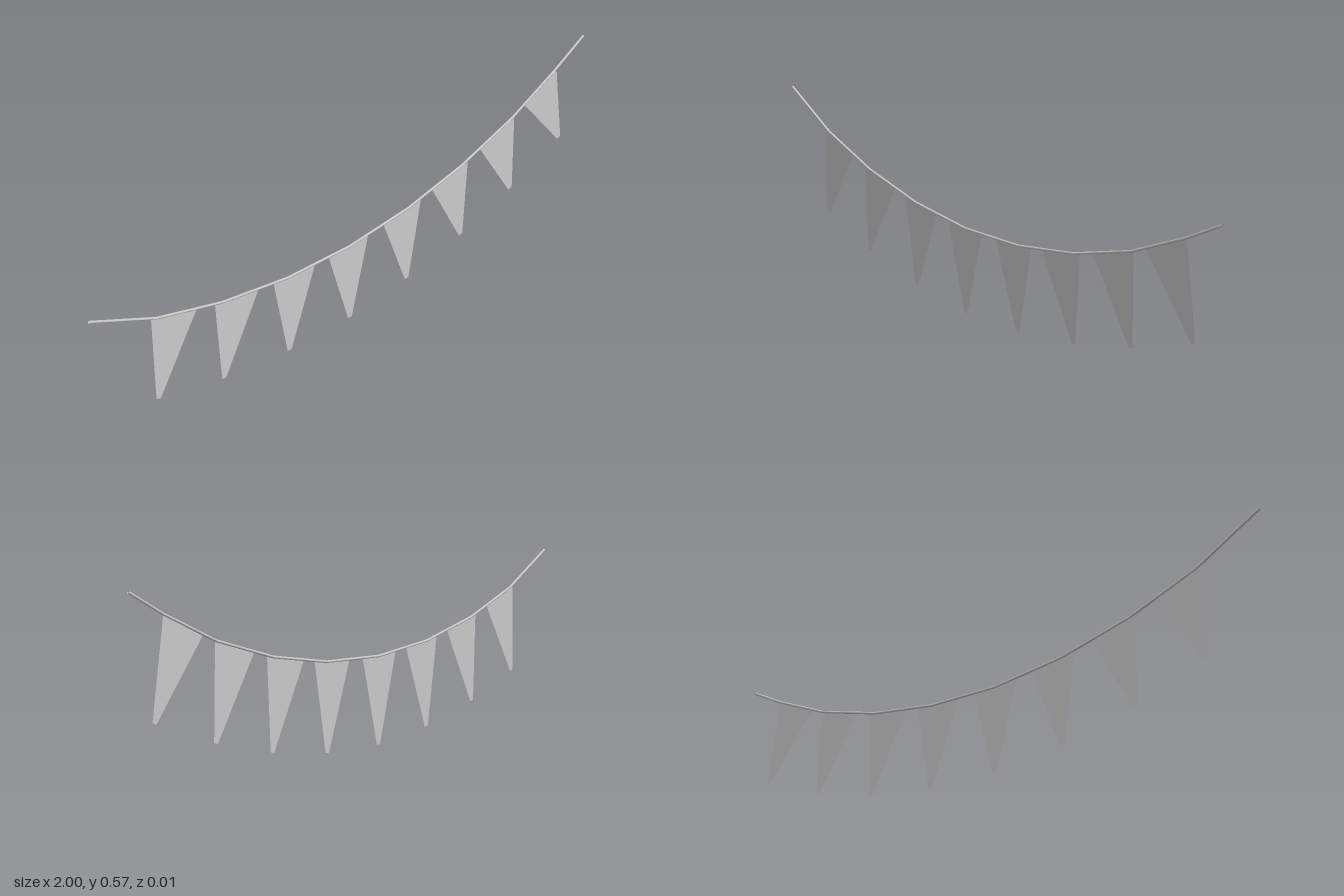
import * as THREE from 'three';

// bends of the hanging rope
const ROPE = [
  [-1, 0.53], [-0.785, 0.42], [-0.555, 0.345], [-0.307, 0.296], [-0.056, 0.278],
  [0.195, 0.292], [0.436, 0.336], [0.671, 0.409], [0.874, 0.503], [1, 0.572],
].map(([x, y]) => new THREE.Vector3(x, y, 0));

// each flag: left and right x on the rope, then the tip
const FLAGS = [
  [-0.802, -0.644, -0.801, 0.138], [-0.58, -0.417, -0.563, 0.068],
  [-0.361, -0.196, -0.307, 0.022], [-0.142, 0.024, -0.055, 0.004],
  [0.088, 0.253, 0.195, 0.02], [0.3, 0.463, 0.443, 0.063],
  [0.516, 0.677, 0.678, 0.128], [0.722, 0.874, 0.914, 0.219],
];

// straight runs between the bends, with one parameter step per run
class RopeCurve extends THREE.Curve {
  getPoint(t, target = new THREE.Vector3()) {
    const s = t * (ROPE.length - 1);
    const i = Math.min(Math.floor(s), ROPE.length - 2);
    return target.lerpVectors(ROPE[i], ROPE[i + 1], s - i);
  }
  getUtoTmapping(u) {
    return u;
  }
}

function ropeY(x) {
  const i = Math.max(1, ROPE.findIndex((p) => p.x >= x));
  const a = ROPE[i - 1], b = ROPE[i];
  return a.y + (b.y - a.y) * (x - a.x) / (b.x - a.x);
}

// tapering pennant with a small blunt tip, its top edge following the rope
function flagGeometry([xl, xr, tx, ty]) {
  const yl = ropeY(xl), yr = ropeY(xr);
  const along = new THREE.Vector2(xr - xl, yr - yl).setLength(0.008);
  const bends = ROPE.filter((p) => p.x > xl && p.x < xr).reverse();
  return new THREE.ShapeGeometry(new THREE.Shape([
    new THREE.Vector2(xl, yl),
    new THREE.Vector2(tx - along.x, ty - along.y),
    new THREE.Vector2(tx + along.x, ty + along.y),
    new THREE.Vector2(xr, yr),
    ...bends.map((p) => new THREE.Vector2(p.x, p.y)),
  ]));
}

export function createModel() {
  const group = new THREE.Group();
  group.name = 'bunting';
  const material = new THREE.MeshStandardMaterial({ color: 0xcccccc, side: THREE.DoubleSide });

  const rope = new THREE.Mesh(
    new THREE.TubeGeometry(new RopeCurve(), ROPE.length - 1, 0.004, 8), material);
  rope.name = 'rope';
  group.add(rope);

  FLAGS.forEach((flag, i) => {
    const mesh = new THREE.Mesh(flagGeometry(flag), material);
    mesh.name = `flag${i + 1}`;
    group.add(mesh);
  });
  return group;
}
